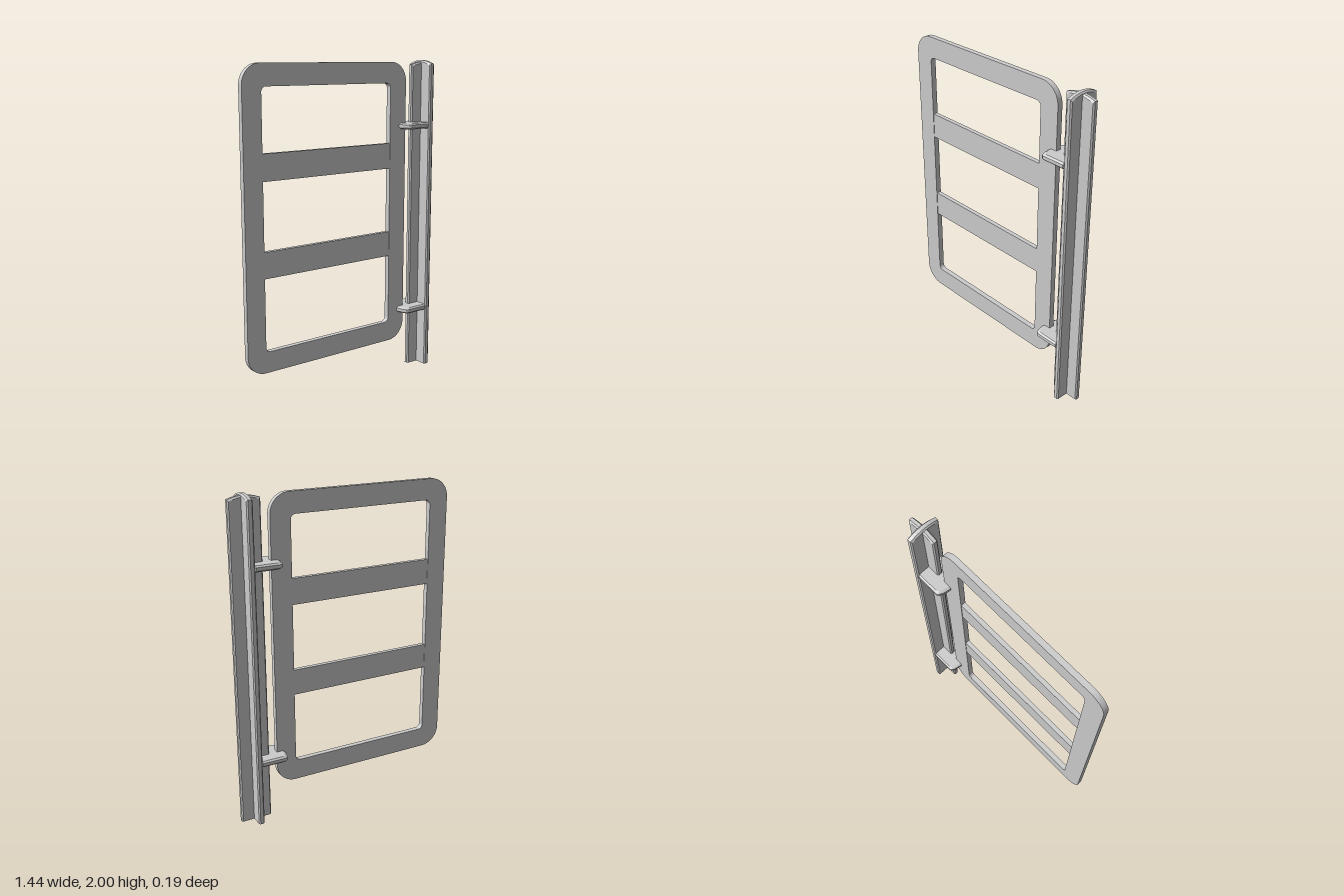
import * as THREE from 'three';
import { ConvexGeometry } from 'three/addons/geometries/ConvexGeometry.js';

const POST_X = 0.62;

// Rounded rectangle, used for both the outline and the opening of the gate frame
function roundedRect(target, x0, y0, x1, y1, r) {
  target.absarc(x1 - r, y1 - r, r, 0, Math.PI / 2);
  target.absarc(x0 + r, y1 - r, r, Math.PI / 2, Math.PI);
  target.absarc(x0 + r, y0 + r, r, Math.PI, Math.PI * 1.5);
  target.absarc(x1 - r, y0 + r, r, Math.PI * 1.5, Math.PI * 2);
  target.closePath();
  return target;
}

// Convex plate with bevelled rims: full outline in the middle, inset outline on both faces
function bevelledPlate(outline, inset, half, bevel) {
  const points = [];
  for (const s of [-1, 1]) {
    for (const [u, v] of outline) points.push(new THREE.Vector3(u, v, s * (half - bevel)));
    for (const [u, v] of inset) points.push(new THREE.Vector3(u, v, s * half));
  }
  return new ConvexGeometry(points);
}

// Post plate silhouette with a gently arched top
function postOutline(halfWidth, edgeY, peakY) {
  const points = [[-halfWidth, 0], [halfWidth, 0]];
  for (let i = 0; i <= 8; i++) {
    const t = 1 - i / 4;
    points.push([halfWidth * t, peakY - (peakY - edgeY) * t * t]);
  }
  return points;
}

export function createModel() {
  const model = new THREE.Group();
  const metal = new THREE.MeshStandardMaterial({ color: 0xcccccc });
  metal.name = 'lightGreyMetal';

  const add = (name, geometry, x = 0, y = 0, z = 0) => {
    const mesh = new THREE.Mesh(geometry, metal);
    mesh.name = name;
    mesh.position.set(x, y, z);
    model.add(mesh);
    return mesh;
  };

  // Gate frame
  const frame = roundedRect(new THREE.Shape(), -0.718, 0.2, 0.472, 1.99, 0.12);
  frame.holes.push(roundedRect(new THREE.Path(), -0.593, 0.328, 0.345, 1.862, 0.03));
  add('gateFrame', new THREE.ExtrudeGeometry(frame, { depth: 0.034, bevelEnabled: false, curveSegments: 10 }), 0, 0, -0.017);

  // Two cross rails, slightly thinner than the frame
  for (const [name, y] of [['lowerRail', 0.848], ['upperRail', 1.412]]) {
    add(name, new THREE.BoxGeometry(0.945, 0.158, 0.028), -0.124, y, 0);
  }

  // Cross-section post made from two crossing plates
  add('postSidePlate', bevelledPlate(postOutline(0.0975, 1.972, 1.99), postOutline(0.09, 1.962, 1.981), 0.0175, 0.008), POST_X);
  const crossPlate = add('postCrossPlate',
    bevelledPlate(postOutline(0.0975, 1.978, 2), postOutline(0.09, 1.968, 1.991), 0.0185, 0.008), POST_X);
  crossPlate.rotation.y = Math.PI / 2;

  // Hinge brackets reaching from the post over the frame edge
  const half = [[0.42, 0.03], [0.427, 0.065], [0.438, 0.09], [0.45, 0.0975], [0.598, 0.0975], [0.602, 0.092]];
  const bracketOutline = [...half, ...half.map(([x, z]) => [x, -z])];
  const bracketInset = bracketOutline.map(([x, z]) => [x < 0.5 ? x + 0.014 : x, z * 0.89]);
  for (const [name, y] of [['lowerHinge', 0.397], ['upperHinge', 1.595]]) {
    const bracket = add(name, bevelledPlate(bracketOutline, bracketInset, 0.019, 0.009), 0, y, 0);
    bracket.rotation.x = Math.PI / 2;
  }

  return model;
}
